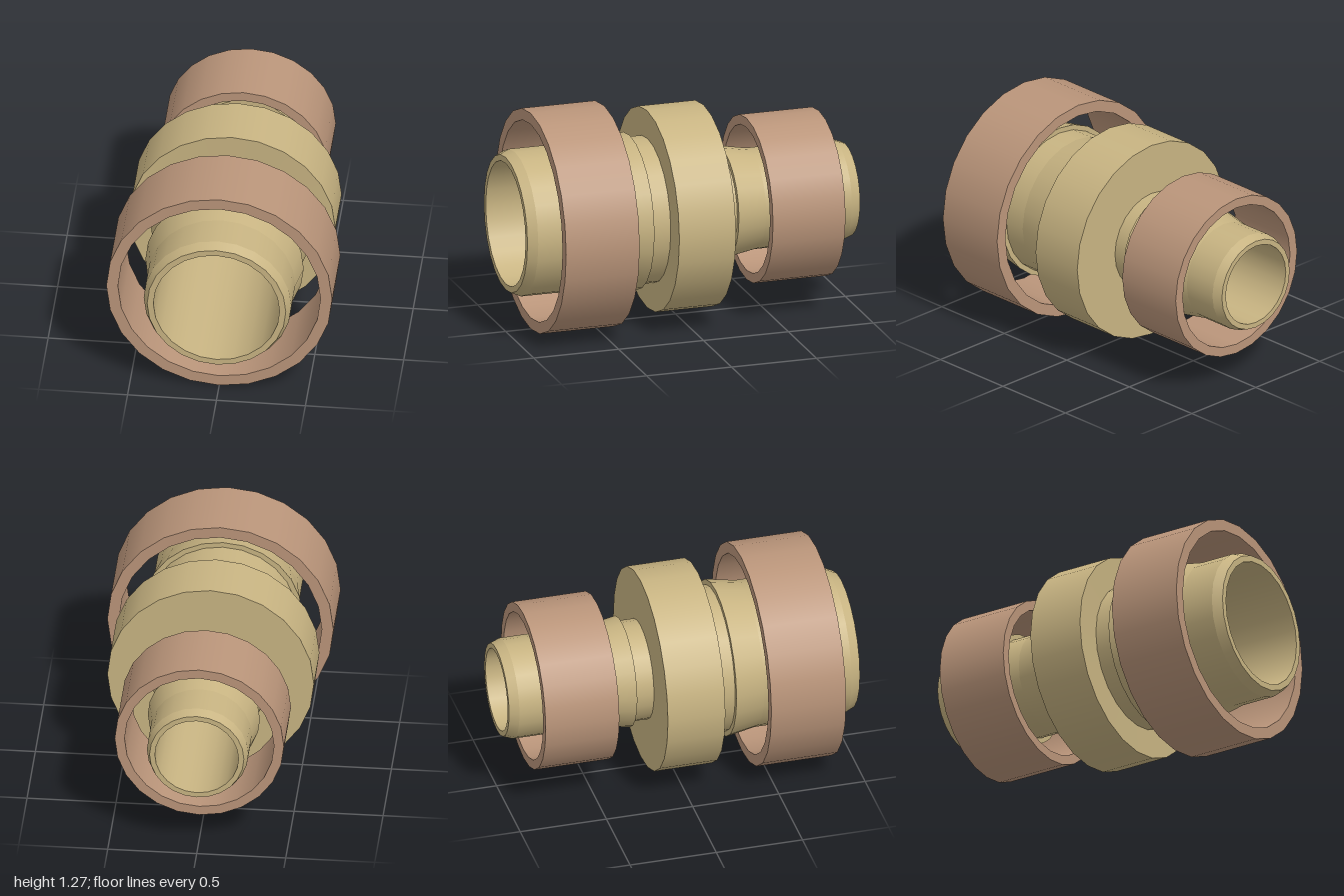
import * as THREE from 'three';
import { mergeGeometries } from 'three/addons/utils/BufferGeometryUtils.js';

const SIDES = 24;
const AXIS_HEIGHT = 0.635;

const tan = new THREE.MeshStandardMaterial({ color: 0xc8b482 });
const copper = new THREE.MeshStandardMaterial({ color: 0xba957a });

// Closed [radius, z] section turned about z: round faces smooth, edges between them sharp.
// The section runs forward along the outside and back along the bore.
function turned(name, section, material) {
  const bands = section.map((point, i) => {
    const next = section[(i + 1) % section.length];
    return new THREE.LatheGeometry(
      [new THREE.Vector2(...point), new THREE.Vector2(...next)], SIDES);
  });
  const mesh = new THREE.Mesh(mergeGeometries(bands).rotateX(Math.PI / 2), material);
  mesh.name = name;
  mesh.position.y = AXIS_HEIGHT;
  return mesh;
}

const ring = (name, inner, outer, back, front, material) =>
  turned(name, [[outer, back], [outer, front], [inner, front], [inner, back]], material);

// Outside of one hose end from the collar outwards: two barbs and a bevelled tip
function barbedOutside(radius, barb, tip, sign) {
  return [
    [radius, 0.165],
    [radius, 0.27], [barb, 0.27], [radius, 0.44],
    [radius, 0.57], [barb, 0.57], [radius, 0.74],
    [radius, 0.945], [tip, 1],
  ].map(([r, z]) => [r, z * sign]);
}

export function createModel() {
  const group = new THREE.Group();
  group.name = 'hoseReducer';

  // Stepped body with the collar in the middle and a stepped bore
  const collar = 0.58;
  group.add(turned('barbedBody', [
    ...barbedOutside(0.285, 0.315, 0.265, -1).reverse(),
    [collar, -0.165], [collar, 0.168],
    ...barbedOutside(0.415, 0.445, 0.39, 1),
    [0.355, 1], [0.355, 0], [0.235, 0], [0.235, -1],
  ], tan));

  // Loose clamping rings around each hose end
  group.add(ring('frontClampRing', 0.57, 0.635, 0.42, 0.853, copper));
  group.add(ring('backClampRing', 0.42, 0.475, -0.845, -0.418, copper));
  return group;
}
